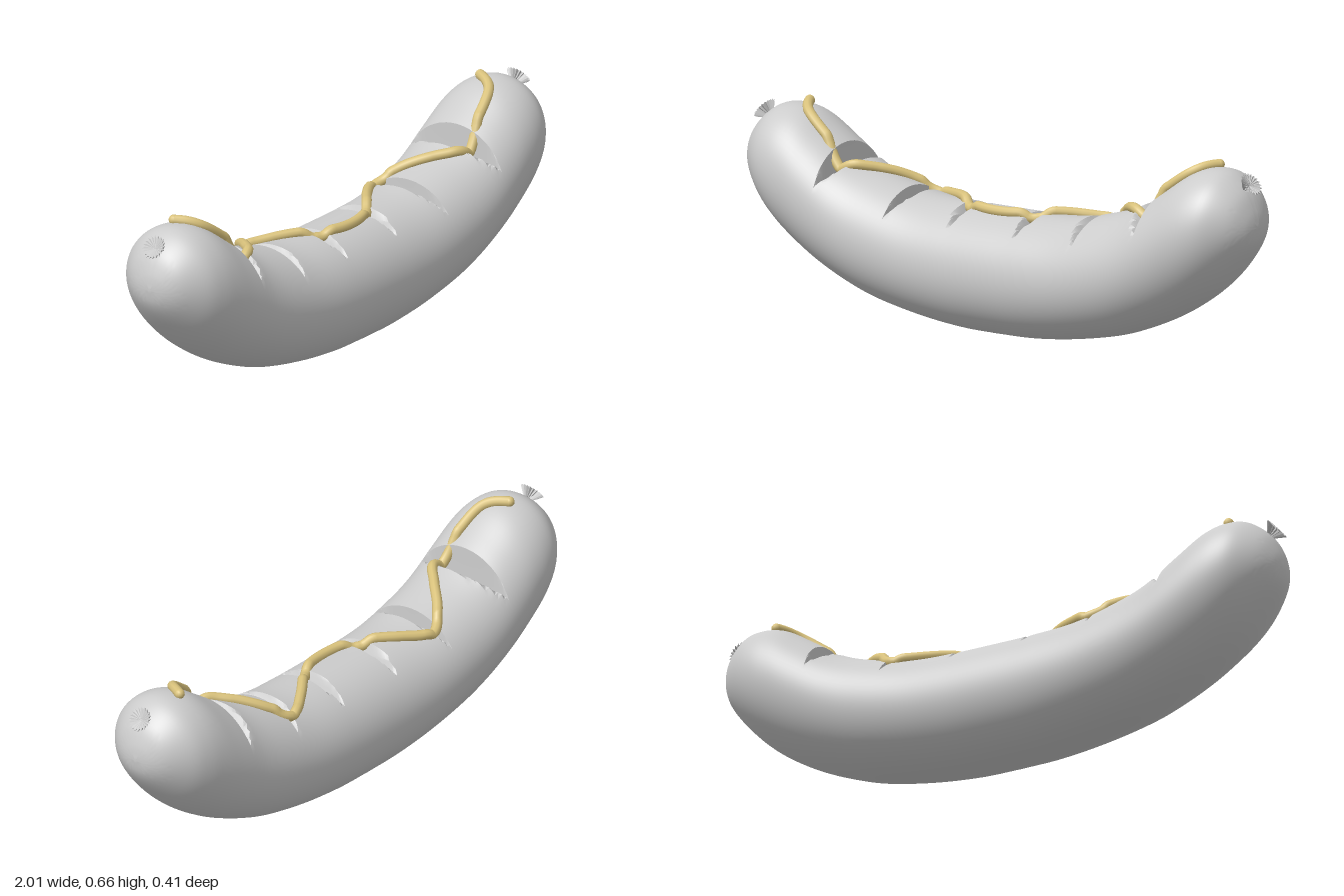
import * as THREE from 'three';
import { toCreasedNormals } from 'three/addons/utils/BufferGeometryUtils.js';

// Half profile of the curved body: x, underside y, top y, half width
const PROFILE = [
  [0, 0.004, 0.41, 0.204], [0.14, 0.007, 0.411, 0.204], [0.3, 0.025, 0.42, 0.204],
  [0.46, 0.056, 0.458, 0.204], [0.57, 0.092, 0.5, 0.204], [0.68, 0.14, 0.572, 0.203],
  [0.77, 0.192, 0.63, 0.198], [0.84, 0.243, 0.647, 0.188], [0.9, 0.3, 0.636, 0.164],
  [0.96, 0.372, 0.586, 0.11], [0.99, 0.423, 0.524, 0.055], [1, 0.472, 0.472, 0],
];
const edges = new THREE.CatmullRomCurve3(PROFILE.map(p => new THREE.Vector3(p[0], p[1], p[2])), false, 'catmullrom');
const widths = new THREE.CatmullRomCurve3(PROFILE.map(p => new THREE.Vector3(p[0], p[3], 0)), false, 'catmullrom');

// Cuts across the top: inner x, deepest x, outer x, floor height, rise of the sloping side
const CUTS = [
  [0.105, 0.13, 0.155, 0.355, 0.057],
  [0.33, 0.376, 0.379, 0.36, 0.065],
  [0.567, 0.637, 0.641, 0.43, 0.07],
];

function section(x) {
  const ax = Math.abs(x);
  let lo = 0, hi = 1;
  for (let i = 0; i < 30; i++) {
    const mid = (lo + hi) / 2;
    if (edges.getPoint(mid).x < ax) lo = mid; else hi = mid;
  }
  const e = edges.getPoint(hi);
  const tip = ax > 0.99999;
  return { c: (e.y + e.z) / 2, h: tip ? 0 : (e.z - e.y) / 2, w: tip ? 0 : widths.getPoint(hi).y };
}

function cutHeight(x) {
  const ax = Math.abs(x);
  for (const [inner, mid, outer, y, rise] of CUTS) {
    const t = ax < mid ? (mid - ax) / (mid - inner) : (ax - mid) / (outer - mid);
    if (t < 0.999) return y + rise * t;
  }
  return Infinity;
}

function surfaceHeight(x, z) {
  const { c, h, w } = section(x);
  return Math.min(c + h * Math.sqrt(Math.max(0, 1 - (z / w) ** 2)), cutHeight(x));
}

function bodyGeometry() {
  const half = [];
  for (let i = 1; i <= 56; i++) half.push(Math.sin((i / 56) * Math.PI / 2));
  for (const [inner, mid, outer] of CUTS) {
    for (let i = 0; i <= 4; i++) half.push(inner + (mid - inner) * i / 4);
    half.push((mid + outer) / 2, outer);
  }
  const xs = [...half.map(x => -x), 0, ...half].sort((a, b) => a - b);
  const SIDES = 72, pos = [], index = [];
  xs.forEach((x, i) => {
    const { c, h, w } = section(x), limit = cutHeight(x);
    for (let j = 0; j <= SIDES; j++) {
      const a = (j / SIDES) * Math.PI * 2;
      pos.push(x, Math.min(c + h * Math.cos(a), limit), w * Math.sin(a));
      if (i < xs.length - 1 && j < SIDES) {
        const p = i * (SIDES + 1) + j, q = p + SIDES + 1;
        index.push(p, p + 1, q, p + 1, q + 1, q);
      }
    }
  });
  const g = new THREE.BufferGeometry();
  g.setAttribute('position', new THREE.Float32BufferAttribute(pos, 3));
  g.setIndex(index);
  return toCreasedNormals(g, 0.5);
}

// Wavy line that follows the top of the body and dips into the cuts
function saucePath() {
  const side = [[0.05, 0.053], [0.13, 0.022], [0.25, -0.062], [0.345, -0.11], [0.42, -0.07],
    [0.5, 0.01], [0.575, 0.072], [0.68, 0.06], [0.77, 0.035], [0.82, -0.035]];
  const plan = new THREE.SplineCurve([
    ...side.map(([x, z]) => new THREE.Vector2(-x, z)).reverse(),
    ...side.map(([x, z]) => new THREE.Vector2(x, z)),
  ]).getSpacedPoints(140);
  const ys = plan.map(p => surfaceHeight(p.x, p.y));
  const pts = plan.map((p, i) => {
    const near = ys.slice(Math.max(0, i - 2), i + 3);
    return new THREE.Vector3(p.x, near.reduce((a, b) => a + b) / near.length + 0.008, p.y);
  });
  return new THREE.CatmullRomCurve3(pts);
}

// Pleated, flared knot of casing
function knotGeometry() {
  const g = new THREE.LatheGeometry(
    [[0.004, 0], [0.016, 0.025], [0.037, 0.052], [0, 0.04]].map(p => new THREE.Vector2(...p)), 40);
  const p = g.attributes.position;
  for (let i = 0; i < p.count; i++) {
    const s = 1 + 0.13 * Math.cos(20 * Math.atan2(p.getX(i), p.getZ(i)));
    p.setX(i, p.getX(i) * s);
    p.setZ(i, p.getZ(i) * s);
  }
  return g;
}

export function createModel() {
  const model = new THREE.Group();
  model.name = 'sausage';
  const grey = new THREE.MeshStandardMaterial({ color: 0xcccccc });
  const knotGrey = new THREE.MeshStandardMaterial({ color: 0xcccccc, flatShading: true, side: THREE.DoubleSide });
  const mustard = new THREE.MeshStandardMaterial({ color: 0xd9c27c });
  const add = (name, geometry, material, parent = model) => {
    const mesh = new THREE.Mesh(geometry, material);
    mesh.name = name;
    parent.add(mesh);
    return mesh;
  };

  add('body', bodyGeometry(), grey);

  // Sauce line with rounded ends
  const sauce = new THREE.Group();
  sauce.name = 'mustard';
  model.add(sauce);
  const path = saucePath();
  add('mustardLine', new THREE.TubeGeometry(path, 280, 0.017, 10), mustard, sauce);
  for (const t of [0, 1]) {
    add('mustardEnd', new THREE.SphereGeometry(0.017, 12, 8), mustard, sauce).position.copy(path.getPoint(t));
  }

  // Knots at both tips
  const knot = knotGeometry();
  for (const s of [1, -1]) {
    const mesh = add(s > 0 ? 'leftKnot' : 'rightKnot', knot, knotGrey);
    mesh.position.set(s * 0.936, 0.578, 0);
    mesh.rotation.z = -s * 0.87;
  }
  return model;
}
